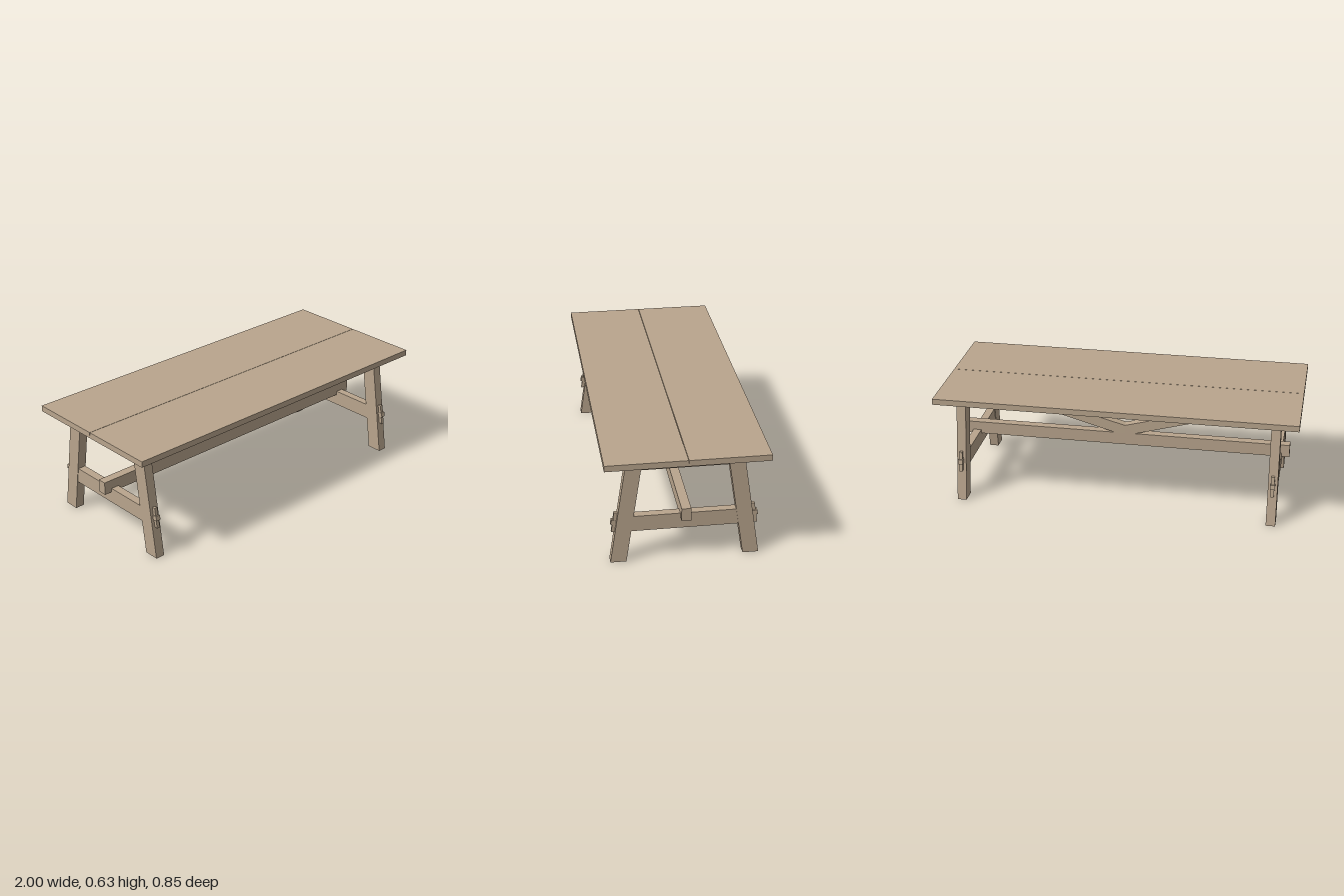
import * as THREE from 'three';

const wood = new THREE.MeshStandardMaterial({ color: 0xb9a58d });
wood.name = 'pale oak';

// Prism from a list of corners in the x-y plane, centred in depth.
function prism(points, depth) {
  const shape = new THREE.Shape(points.map(([x, y]) => new THREE.Vector2(x, y)));
  const geo = new THREE.ExtrudeGeometry(shape, { depth, bevelEnabled: false });
  return geo.translate(0, 0, -depth / 2);
}

// The same, with corners given as [z, y] and the depth along x.
function sidePrism(points, depth) {
  return prism(points, depth).rotateY(-Math.PI / 2);
}

function add(parent, name, geometry, x = 0, y = 0, z = 0) {
  const mesh = new THREE.Mesh(geometry, wood);
  mesh.name = name;
  mesh.position.set(x, y, z);
  parent.add(mesh);
  return mesh;
}

const LEG_TOP = 0.597;
const SLOPE = 0.149; // outward lean of the legs per unit of height
const innerZ = (y) => 0.308 + -SLOPE * y;
const outerZ = (y) => 0.392 - SLOPE * y;

// Crossbar whose ends follow the inner faces of the leaning legs.
function crossbar(y0, y1, depth) {
  return sidePrism([[-innerZ(y0), y0], [innerZ(y0), y0], [innerZ(y1), y1], [-innerZ(y1), y1]], depth);
}

function makeTrestle() {
  const trestle = new THREE.Group();
  trestle.name = 'trestle';
  for (const s of [1, -1]) {
    const mirror = (pts) => (s > 0 ? pts : pts.map(([z, y]) => [-z, y]));
    // Leaning leg
    add(trestle, 'leg', sidePrism(mirror([
      [innerZ(0), 0], [outerZ(0), 0], [outerZ(LEG_TOP), LEG_TOP], [innerZ(LEG_TOP), LEG_TOP],
    ]), 0.052));
    // Wedge lying along the outside of the leg
    add(trestle, 'wedge', sidePrism(mirror([
      [outerZ(0.178) - 0.01, 0.177], [0.384, 0.174], [0.368, 0.288], [outerZ(0.286) - 0.01, 0.286],
    ]), 0.018));
    // Tenon sticking out through the leg around the wedge
    add(trestle, 'tenon', sidePrism(mirror([
      [0.34, 0.215], [0.387, 0.221], [0.382, 0.247], [0.336, 0.24],
    ]), 0.026));
  }
  add(trestle, 'topRail', crossbar(0.537, LEG_TOP, 0.052));
  add(trestle, 'lowerRail', crossbar(0.18, 0.267, 0.046));
  return trestle;
}

export function createModel() {
  const table = new THREE.Group();
  table.name = 'trestleTable';

  // Two planks with a fine seam between them
  for (const s of [1, -1]) {
    add(table, 'topPlank', new THREE.BoxGeometry(2, 0.033, 0.424), 0, 0.6135, s * 0.213);
  }

  for (const s of [1, -1]) {
    const trestle = makeTrestle();
    trestle.position.x = s * 0.873;
    table.add(trestle);
  }

  // Long stretcher passing through both lower rails
  add(table, 'stretcher', new THREE.BoxGeometry(1.88, 0.072, 0.05), 0, 0.281, 0);

  // Diagonal braces meeting in a mitre on the stretcher
  const brace = [[0, 0.317], [0.058, 0.317], [0.847, 0.537], [0.847, 0.596], [0, 0.365]];
  add(table, 'braceLeft', prism(brace, 0.05));
  add(table, 'braceRight', prism(brace.map(([x, y]) => [-x, y]), 0.05));

  return table;
}
